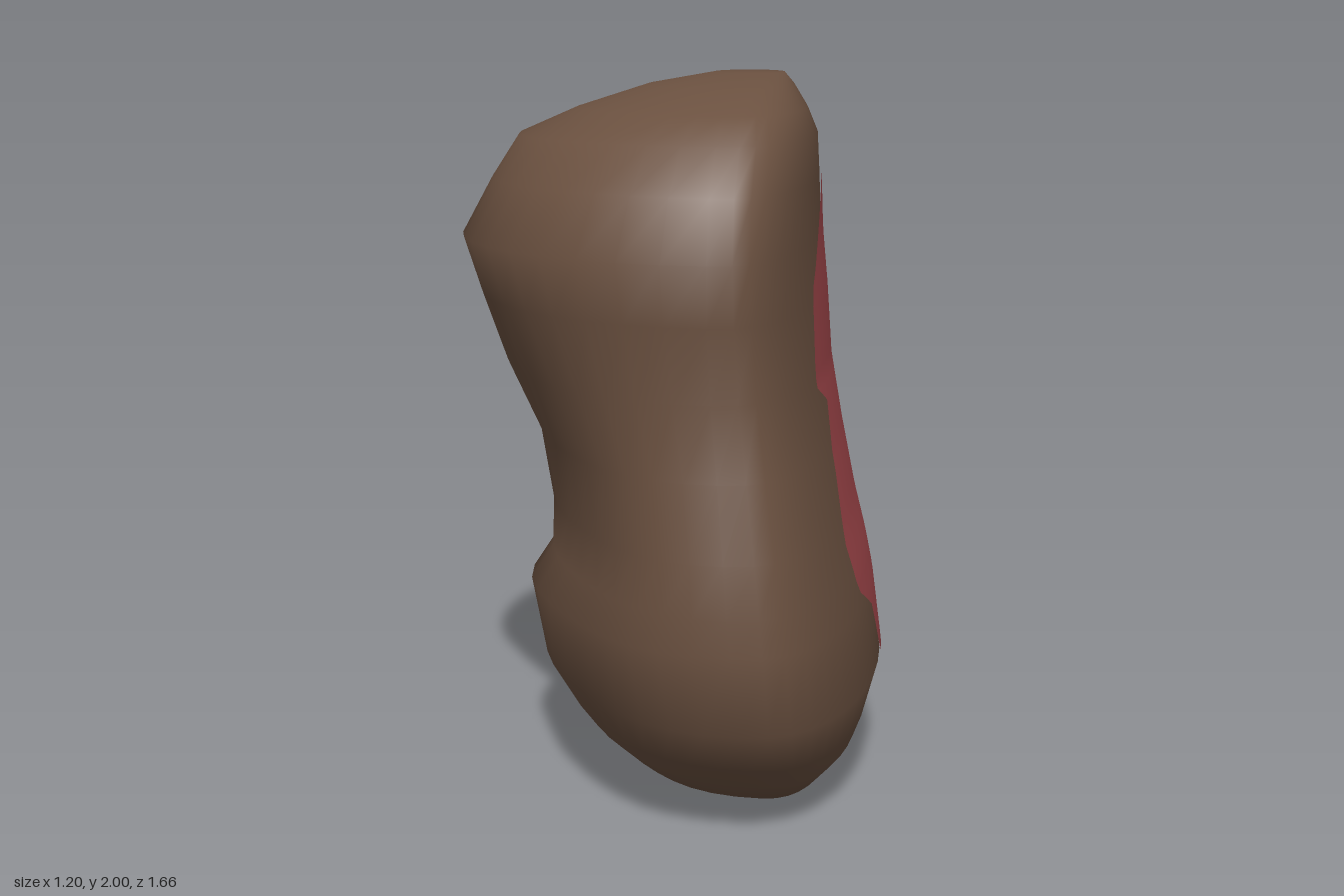
import * as THREE from 'three';

// Body rings: height, x of inner side, x of widest line, x of outer side, z back, z front
const RINGS = [
  [0.00, 0.16, 0.27, 0.38, -0.08, 0.08],
  [0.025, -0.11, 0.28, 0.43, -0.27, 0.27],
  [0.07, -0.18, 0.29, 0.48, -0.54, 0.54],
  [0.13, -0.25, 0.28, 0.54, -0.62, 0.61],
  [0.20, -0.30, 0.27, 0.565, -0.68, 0.68],
  [0.35, -0.37, 0.25, 0.60, -0.73, 0.83],
  [0.56, -0.42, 0.22, 0.57, -0.83, 0.83],
  [0.66, -0.355, 0.21, 0.55, -0.82, 0.825],
  [0.80, -0.35, 0.20, 0.515, -0.80, 0.81],
  [1.00, -0.385, 0.18, 0.475, -0.75, 0.76],
  [1.20, -0.48, 0.16, 0.44, -0.73, 0.73],
  [1.40, -0.55, 0.15, 0.425, -0.775, 0.74],
  [1.56, -0.60, 0.15, 0.41, -0.76, 0.75],
  [1.72, -0.51, 0.15, 0.405, -0.63, 0.67],
  [1.84, -0.43, 0.16, 0.40, -0.46, 0.56],
  [1.91, -0.27, 0.17, 0.37, -0.39, 0.46],
  [1.97, -0.08, 0.18, 0.33, -0.30, 0.25],
  [2.00, 0.10, 0.20, 0.30, -0.21, 0.02],
];

// Patch outline: height, back z, front z
const PATCH = [
  [0.22, 0.02, 0.04], [0.25, -0.03, 0.06], [0.32, -0.14, 0.09], [0.45, -0.22, 0.14],
  [0.52, -0.26, 0.17], [0.60, -0.25, 0.33], [0.64, -0.33, 0.36], [0.75, -0.41, 0.39],
  [0.85, -0.41, 0.36], [0.94, -0.39, 0.33], [1.00, -0.37, 0.32], [1.13, -0.46, 0.27],
  [1.16, -0.48, 0.33], [1.18, -0.50, 0.37], [1.25, -0.55, 0.37], [1.38, -0.52, 0.35],
  [1.40, -0.36, 0.35], [1.45, -0.32, 0.33], [1.58, -0.22, 0.17], [1.66, -0.14, 0.09],
  [1.72, -0.06, 0.02], [1.74, -0.03, -0.02],
];

// Linear lookup of a table row at height y
function rowAt(table, y) {
  let i = 0;
  while (i < table.length - 2 && table[i + 1][0] < y) i++;
  const a = table[i], b = table[i + 1];
  const t = THREE.MathUtils.clamp((y - a[0]) / (b[0] - a[0]), 0, 1);
  return a.map((v, k) => THREE.MathUtils.lerp(v, b[k], t));
}

// Point on the body at one ring and angle: the outer side is flattened, more
// so toward the front; the inner side is pinched toward a ridge low down
function bodyPoint([y, inner, mid, outer, back, front], angle) {
  const c = Math.cos(angle), s = Math.sin(angle);
  const { lerp, smoothstep } = THREE.MathUtils;
  const pinch = lerp(0.09, -0.01, smoothstep(y, 0.9, 1.5));
  const frontPower = lerp(0.85, 0.75, smoothstep(y, 0.3, 0.7));
  const power = lerp(0.9, frontPower, smoothstep(s, -0.4, 0.4));
  const x = c > 0
    ? mid + (outer - mid) * c ** power
    : mid + (mid - inner) * c * (1 - pinch * Math.sin(2 * angle) ** 2);
  return [x, y, (back + front) / 2 + s * (front - back) / 2];
}

// Skin a grid of points; columns run toward +z as seen from +x
function gridGeometry(rows, closed) {
  const n = rows[0].length, index = [];
  for (let i = 0; i < rows.length - 1; i++) {
    for (let j = 0; j < (closed ? n : n - 1); j++) {
      const k = (j + 1) % n, a = i * n, b = a + n;
      index.push(a + j, b + j, a + k, b + j, b + k, a + k);
    }
  }
  const points = rows.flat();
  if (closed) {
    // End caps
    const last = (rows.length - 1) * n;
    const low = points.push([0.27, 0, 0]) - 1, high = points.push([0.2, 2, -0.1]) - 1;
    for (let j = 0; j < n; j++) {
      const k = (j + 1) % n;
      index.push(low, j, k, high, last + k, last + j);
    }
  }
  const g = new THREE.BufferGeometry();
  g.setAttribute('position', new THREE.Float32BufferAttribute(points.flat(), 3));
  g.setIndex(index);
  g.computeVertexNormals();
  return g;
}

export function createModel() {
  const group = new THREE.Group();
  group.name = 'lump';
  const brown = new THREE.MeshStandardMaterial({ color: 0x6b5140 });
  brown.name = 'brown hide';
  const red = new THREE.MeshStandardMaterial({ color: 0xa0464a });
  red.name = 'red flesh';

  // Waisted body
  const SIDES = 40;
  const rings = RINGS.map((r) =>
    Array.from({ length: SIDES }, (_, j) => bodyPoint(r, (j / SIDES) * Math.PI * 2)));
  const body = new THREE.Mesh(gridGeometry(rings, true), brown);
  body.name = 'body';

  // Ragged patch laid just over the outer side
  const heights = [];
  PATCH.slice(0, -1).forEach(([y], i) => {
    for (let s = 0; s < 3; s++) heights.push(THREE.MathUtils.lerp(y, PATCH[i + 1][0], s / 3));
  });
  heights.push(PATCH[PATCH.length - 1][0]);
  const COLS = 14;
  const patchRows = heights.map((y) => {
    const ring = rowAt(RINGS, y), [, zBack, zFront] = rowAt(PATCH, y);
    return Array.from({ length: COLS + 1 }, (_, j) => {
      const z = THREE.MathUtils.lerp(zBack, zFront, j / COLS);
      const angle = Math.asin((2 * z - ring[4] - ring[5]) / (ring[5] - ring[4]));
      const p = bodyPoint(ring, angle);
      return [p[0] + 0.006, p[1], p[2]];
    });
  });
  const patch = new THREE.Mesh(gridGeometry(patchRows, false), red);
  patch.name = 'patch';

  group.add(body, patch);
  return group;
}
